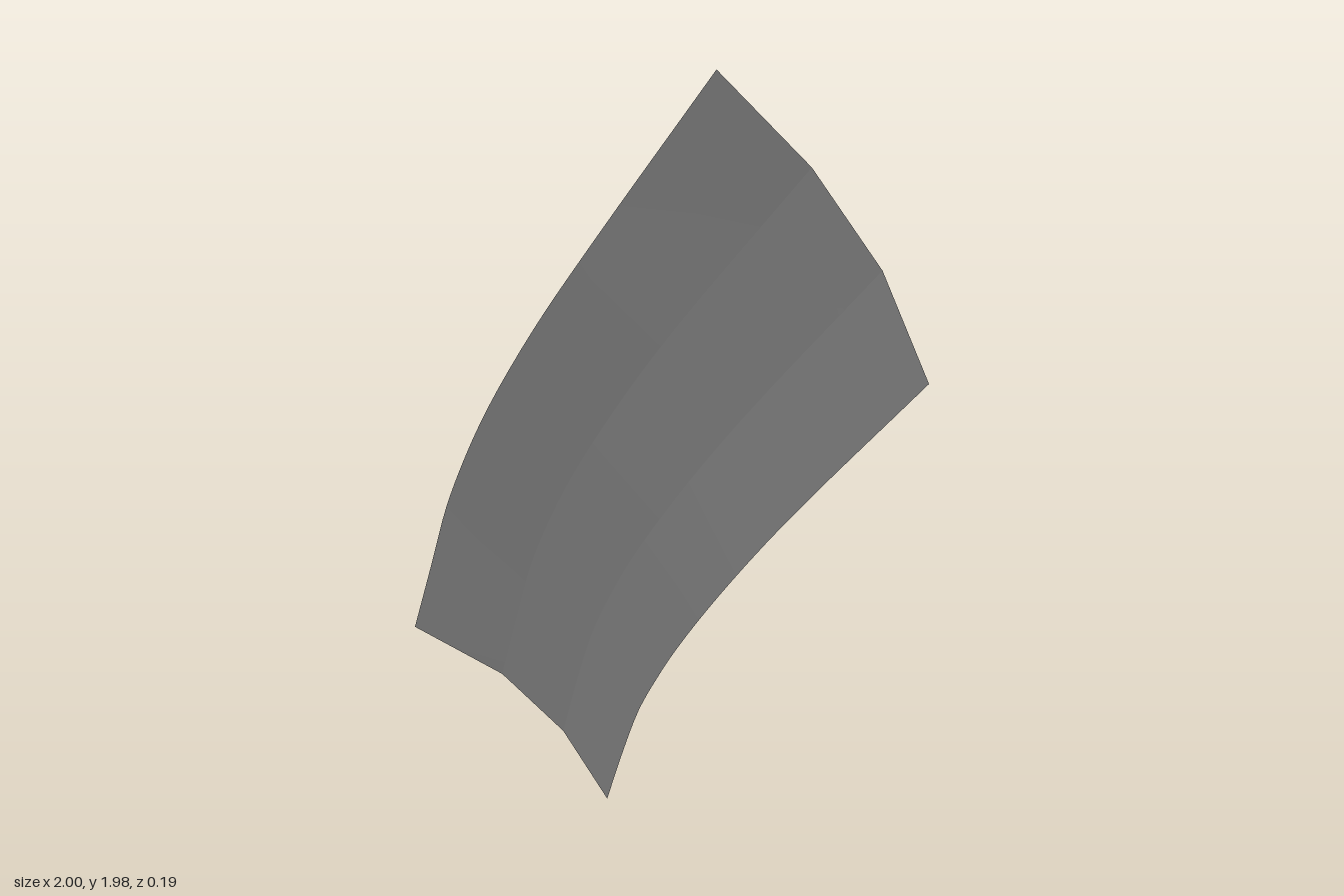
import * as THREE from 'three';

const SEGMENTS = 28;

// Stations along the channel: outer edge x, y; inner edge x, y;
// then the depth of the four rails from outer to inner.
const stations = [
  [-1.0, 0.325, -0.09, 0.0, 0.095, -0.02, -0.02, 0.06],
  [-0.91, 0.55, -0.03, 0.15, 0.085, -0.02, -0.02, 0.052],
  [-0.84, 0.72, 0.035, 0.28, 0.08, -0.02, -0.02, 0.05],
  [-0.75, 0.88, 0.115, 0.385, 0.073, -0.02, -0.018, 0.055],
  [-0.63, 1.05, 0.21, 0.49, 0.066, -0.02, -0.015, 0.065],
  [-0.42, 1.29, 0.38, 0.66, 0.055, -0.022, -0.015, 0.075],
  [-0.18, 1.53, 0.6, 0.88, 0.04, -0.035, -0.035, 0.055],
  [0.28, 1.98, 1.0, 1.25, 0.0, -0.1, -0.1, 0.0],
];

// Smooth lengthwise rail, a third of the width apart from its neighbour
function rail(i) {
  const f = i / 3;
  return new THREE.CatmullRomCurve3(stations.map((s) => new THREE.Vector3(
    THREE.MathUtils.lerp(s[0], s[2], f),
    THREE.MathUtils.lerp(s[1], s[3], f),
    s[4 + i],
  )));
}

// Strip of surface between two rails, facing +z
function strip(a, b) {
  const positions = [], index = [];
  for (let i = 0; i <= SEGMENTS; i++) {
    const t = i / SEGMENTS;
    positions.push(...a.getPoint(t).toArray(), ...b.getPoint(t).toArray());
    if (i < SEGMENTS) {
      const k = i * 2;
      index.push(k, k + 1, k + 3, k, k + 3, k + 2);
    }
  }
  const geometry = new THREE.BufferGeometry();
  geometry.setAttribute('position', new THREE.Float32BufferAttribute(positions, 3));
  geometry.setIndex(index);
  geometry.computeVertexNormals();
  return geometry;
}

export function createModel() {
  const group = new THREE.Group();
  group.name = 'curvedChannel';
  const grey = new THREE.MeshStandardMaterial({ color: 0xcccccc, side: THREE.DoubleSide });
  grey.name = 'light grey';

  // Separate panels keep the lengthwise folds sharp
  const rails = [0, 1, 2, 3].map(rail);
  ['outerFlank', 'channelFloor', 'innerFlank'].forEach((name, i) => {
    const mesh = new THREE.Mesh(strip(rails[i], rails[i + 1]), grey);
    mesh.name = name;
    group.add(mesh);
  });
  return group;
}
